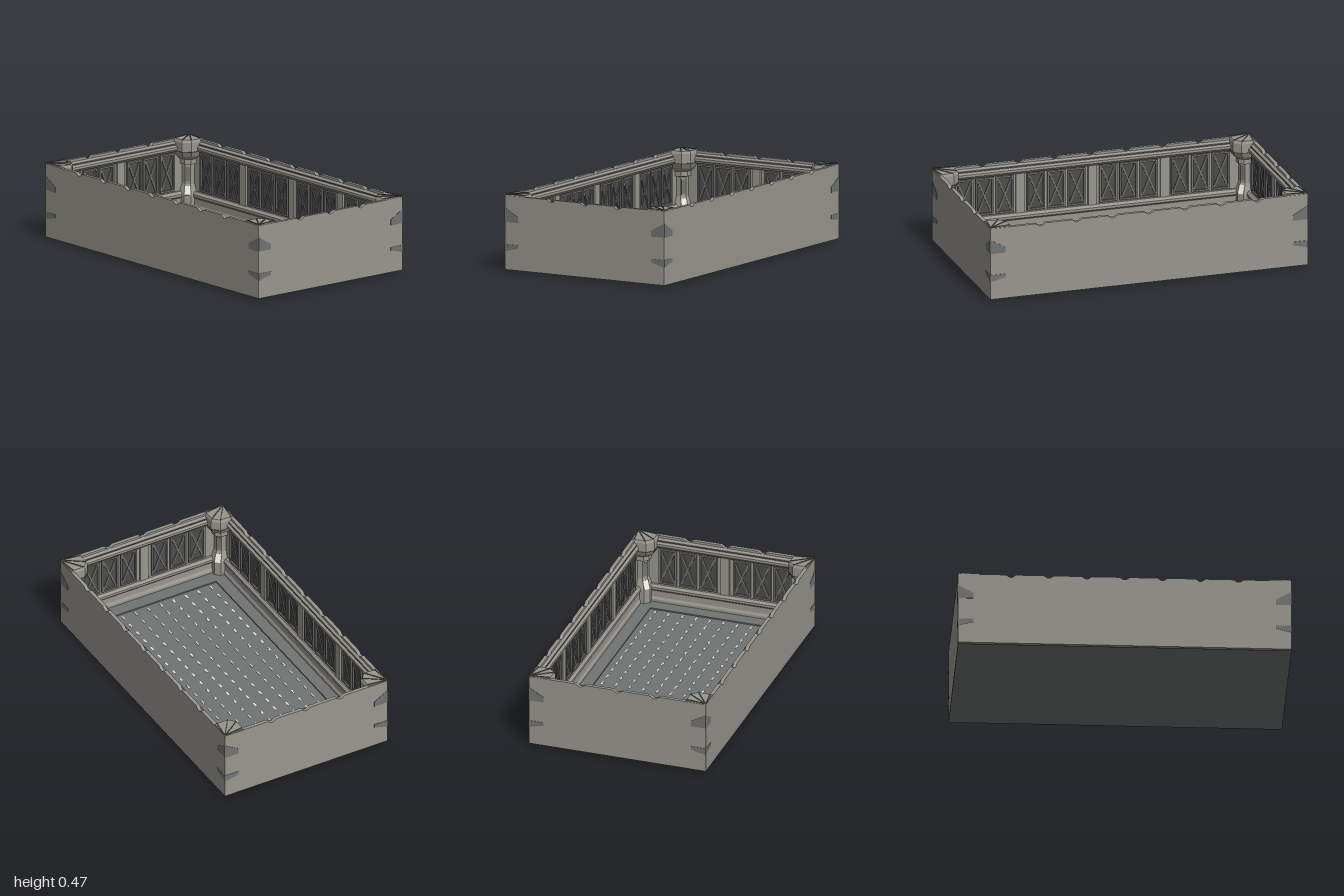
import * as THREE from 'three';
import { mergeGeometries } from 'three/addons/utils/BufferGeometryUtils.js';

const mat = (name, color) => {
  const m = new THREE.MeshStandardMaterial({ color });
  m.name = name;
  return m;
};

export function createModel() {
  const stone = mat('stone', 0x98968e);
  const slate = mat('slate', 0x707472);
  const shade = mat('dark recess', 0x4c4c48);
  const pale = mat('pale', 0xe8e8e6);
  const HX = 1, HZ = 0.56, BOTTOM = 0.01, TOP = 0.46;

  const root = new THREE.Group();
  root.name = 'openTray';
  const add = (parent, name, geo, material) => {
    const m = new THREE.Mesh(geo, material);
    m.name = name;
    parent.add(m);
    return m;
  };
  const box = (w, h, d, x, y, z, rz = 0) =>
    new THREE.BoxGeometry(w, h, d).rotateZ(rz).translate(x, y, z);
  const extrude = (pts, depth) => new THREE.ExtrudeGeometry(
    new THREE.Shape(pts.map(p => new THREE.Vector2(p[0], p[1]))), { depth, bevelEnabled: false });
  // Moulding: a (depth, height) section run along x
  const moulding = (pts, len) =>
    extrude(pts, len).translate(0, 0, -len / 2).rotateY(-Math.PI / 2);

  // Walls: outer face at local z = 0, inside towards +z
  function wall(name, half, slabHalf, notches, groups, pilasters) {
    const g = new THREE.Group();
    g.name = name;

    // Slab with notched parapet
    const outline = [[-slabHalf, BOTTOM], [slabHalf, BOTTOM], [slabHalf, TOP]];
    [...notches].reverse().forEach(n =>
      outline.push([n + 0.03, TOP], [n + 0.008, TOP - 0.015], [n - 0.008, TOP - 0.015], [n - 0.03, TOP]));
    outline.push([-slabHalf, TOP]);
    add(g, 'wallSlab', extrude(outline, 0.022), stone);

    // Cornice, groove and skirting on the inner side
    const len = 2 * half - 0.04;
    add(g, 'cornice', moulding([[0.02, 0.385], [0.038, 0.385], [0.05, 0.4], [0.05, 0.415],
      [0.036, 0.425], [0.036, 0.435], [0.02, 0.447]], len), stone);
    add(g, 'corniceGroove', box(len, 0.006, 0.004, 0, 0.43, 0.036), shade);
    add(g, 'skirting', moulding([[0.02, BOTTOM], [0.05, BOTTOM], [0.05, 0.04], [0.042, 0.055],
      [0.042, 0.095], [0.05, 0.105], [0.05, 0.12], [0.036, 0.135], [0.02, 0.135]], len), stone);

    // Groups of three cross-braced panels
    const backs = [], bars = [];
    const w = 0.112, h = 0.235, cy = 0.26, pitch = 0.128;
    groups.forEach(c => [-1, 0, 1].forEach(i => {
      const x = c + i * pitch;
      backs.push(box(w, h, 0.004, x, cy, 0.023));
      [-1, 1].forEach(s => {
        bars.push(box(0.011, h, 0.012, x + s * (w / 2 - 0.0055), cy, 0.028));
        bars.push(box(w, 0.011, 0.012, x, cy + s * (h / 2 - 0.0055), 0.028));
        bars.push(box(0.009, 0.22, 0.008, x, cy, 0.027, s * Math.atan2(0.085, 0.205)));
      });
    }));
    add(g, 'panelRecesses', mergeGeometries(backs), shade);
    add(g, 'crossBraces', mergeGeometries(bars), slate);
    add(g, 'pilasters', mergeGeometries(
      pilasters.map(x => box(0.055, 0.26, 0.016, x, cy, 0.029))), stone);

    // Dark angled inlays at both outer ends
    [-1, 1].forEach(s => {
      const e = s * half, n = s * (half - 0.093);
      [[[e, 0.3], [e, 0.388], [n, 0.335], [n, 0.3]],
        [[e, 0.12], [e, 0.165], [n, 0.165], [n, 0.143]]].forEach(p =>
        add(g, 'cornerInlay', extrude(p, 0.004).translate(0, 0, -0.002), slate));
    });
    root.add(g);
    return g;
  }

  const longNotches = [-3, -2, -1, 0, 1, 2, 3].map(i => i * 0.2275);
  const longGroups = [-0.68, -0.2275, 0.2275, 0.68];
  const shortNotches = [-0.235, 0, 0.235];
  const shortGroups = [-0.235, 0.235];
  wall('backWall', HX, HX, longNotches, longGroups, [-0.455, 0, 0.455]).position.z = -HZ;
  const front = wall('frontWall', HX, HX, longNotches, longGroups, [-0.455, 0, 0.455]);
  front.position.z = HZ;
  front.rotation.y = Math.PI;
  [1, -1].forEach(s => {
    const side = wall(s > 0 ? 'leftWall' : 'rightWall', HZ, HZ - 0.022, shortNotches, shortGroups, [0]);
    side.position.x = s * HX;
    side.rotation.y = -s * Math.PI / 2;
  });

  // Faceted quarter-column lofted through [radius, height] rings
  function quarterLoft(rings) {
    const o = 0.003, pos = [], idx = [];
    const section = r => [[o, o], [o, r], [0.7 * r, r], [r, 0.7 * r], [r, o]];
    rings.forEach(([r, y]) => section(r).forEach(([x, z]) => pos.push(x, y, z)));
    const n = 5;
    for (let k = 0; k < rings.length - 1; k++) {
      for (let i = 0; i < n; i++) {
        const a = k * n + i, b = k * n + (i + 1) % n;
        idx.push(a, b, b + n, a, b + n, a + n);
      }
    }
    const t = (rings.length - 1) * n;
    for (let i = 1; i < n - 1; i++) idx.push(0, i + 1, i, t, t + i, t + i + 1);
    const geo = new THREE.BufferGeometry();
    geo.setAttribute('position', new THREE.Float32BufferAttribute(pos, 3));
    geo.setIndex(idx);
    const flat = geo.toNonIndexed();
    flat.computeVertexNormals();
    return flat;
  }

  // Corner columns, turned to face the middle
  [[-HX, -HZ, 0], [-HX, HZ, 1], [HX, HZ, 2], [HX, -HZ, 3]].forEach(([x, z, q]) => {
    const c = new THREE.Group();
    c.name = 'cornerColumn';
    c.position.set(x, 0, z);
    c.rotation.y = q * Math.PI / 2;
    add(c, 'columnShaft', quarterLoft([[0.1, BOTTOM], [0.1, 0.115], [0.08, 0.17], [0.076, 0.18],
      [0.076, 0.3], [0.092, 0.305], [0.092, 0.335]]), stone);
    add(c, 'columnHead', quarterLoft([[0.092, 0.335], [0.122, 0.36], [0.135, 0.39],
      [0.135, 0.45], [0.128, 0.466]]), stone);
    add(c, 'headBand', quarterLoft([[0.1365, 0.388], [0.1365, 0.394]]), shade);

    // Ribs fanning over the cap
    [8, 35, 55, 82].forEach(deg => {
      const a = THREE.MathUtils.degToRad(deg);
      const l = (deg === 8 || deg === 82) ? 0.118 : 0.145;
      const rib = new THREE.BoxGeometry(l, 0.005, 0.007).translate(l / 2 + 0.01, 0.4665, 0).rotateY(-a);
      add(c, 'capRib', rib, shade);
    });

    // Plates on the diagonal face
    const d = new THREE.Group();
    d.name = 'diagonalPlates';
    d.rotation.y = Math.PI / 4;
    add(d, 'shaftPlate', box(0.026, 0.09, 0.006, 0, 0.24, 0.0915), slate);
    add(d, 'basePlate', new THREE.BoxGeometry(0.036, 0.056, 0.006)
      .rotateX(-0.41).translate(0, 0.143, 0.109), pale);
    c.add(d);
    root.add(c);
  });

  // Floor, raised border and underside
  add(root, 'floorPlate', box(2 * HX - 0.04, 0.008, 2 * HZ - 0.04, 0, 0.012, 0), slate);
  const rim = new THREE.Shape([[-1, -1], [1, -1], [1, 1], [-1, 1]]
    .map(([x, y]) => new THREE.Vector2(x * 0.955, y * 0.515)));
  rim.holes.push(new THREE.Path([[-1, -1], [-1, 1], [1, 1], [1, -1]]
    .map(([x, y]) => new THREE.Vector2(x * 0.867, y * 0.437))));
  add(root, 'floorBorder', new THREE.ExtrudeGeometry(rim, { depth: 0.01, bevelEnabled: false })
    .rotateX(-Math.PI / 2).translate(0, 0.014, 0), slate);
  add(root, 'underside', new THREE.PlaneGeometry(2 * HX, 2 * HZ).rotateX(Math.PI / 2), slate);

  // Plain cell markers on the floor, 20 by 10
  const marks = [];
  for (let i = 0; i < 20; i++) {
    for (let j = 0; j < 10; j++) {
      marks.push(box(0.034, 0.002, 0.009, -0.83 + i * 0.0873, 0.017, -0.395 + j * 0.0868));
    }
  }
  add(root, 'cellMarkers', mergeGeometries(marks), pale);
  return root;
}
